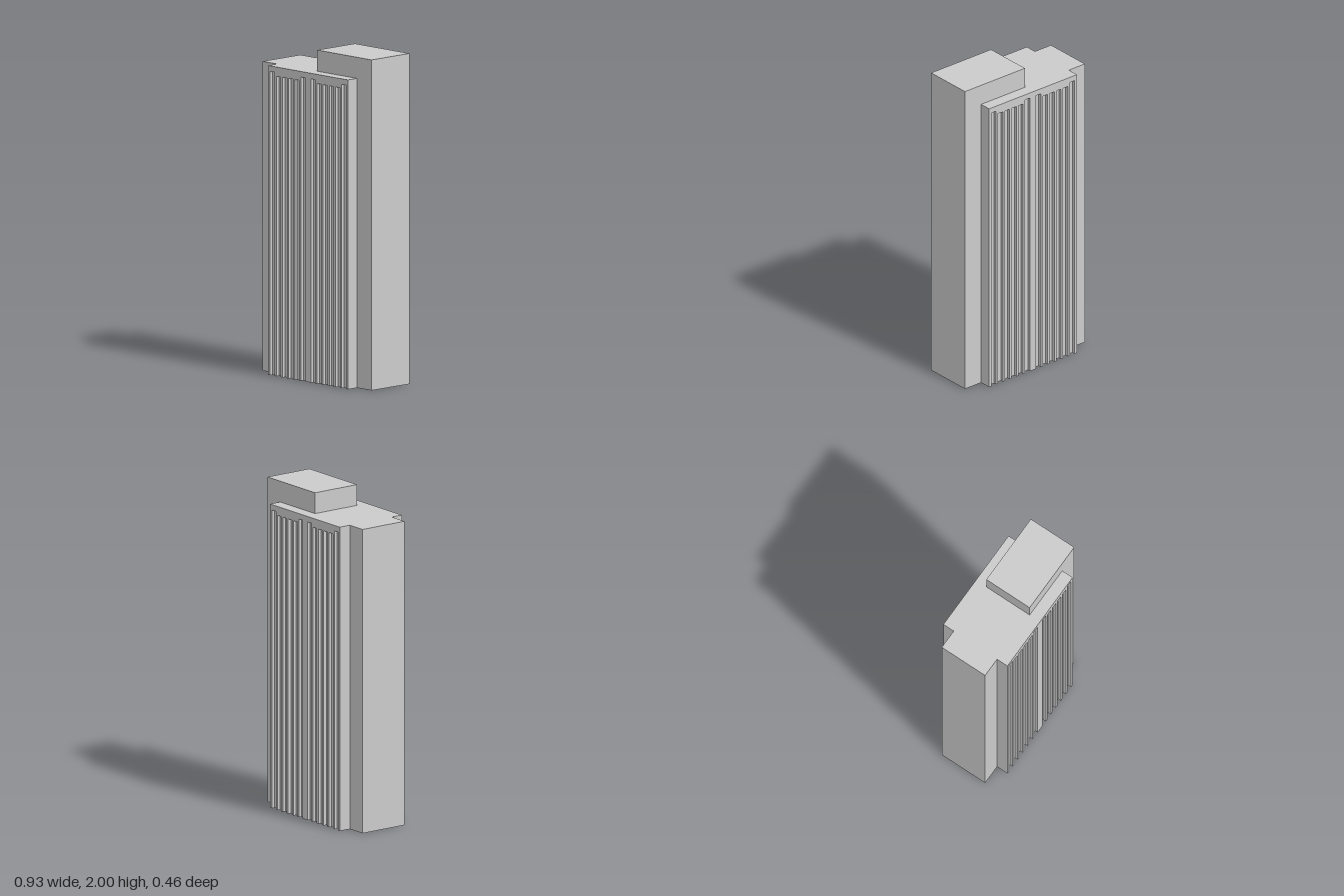
import * as THREE from 'three';

const W = 0.466, D = 0.157;         // half width / half depth of the main slab
const PW = 0.341, PD = 0.232;       // half width / front of the fluted bays
const ROOF = 1.872, TOP = 2;
const SLOT = 0.037, PITCH = 0.0525, RECESS = 0.02;

// Mesh made of flat quads, corners counter-clockwise from outside
function quadMesh(name, quads) {
  const pos = [];
  for (const [a, b, c, d] of quads) pos.push(...a, ...b, ...c, ...a, ...c, ...d);
  const geo = new THREE.BufferGeometry();
  geo.setAttribute('position', new THREE.Float32BufferAttribute(pos, 3));
  geo.computeVertexNormals();
  const mesh = new THREE.Mesh(geo, new THREE.MeshStandardMaterial({
    color: 0xcccccc, flatShading: true, side: THREE.DoubleSide,
  }));
  mesh.name = name;
  return mesh;
}

// Upright quad between two plan points; faces to the right of the direction of travel
// (left to right along +x faces +z)
const wall = (x0, z0, x1, z1, y0, y1) =>
  [[x0, y0, z0], [x1, y0, z1], [x1, y1, z1], [x0, y1, z0]];

// Level quad facing up
const deck = (x0, x1, z0, z1, y) =>
  [[x0, y, z1], [x1, y, z1], [x1, y, z0], [x0, y, z0]];

// Projecting bay with vertical slots that run down to the ground
function flutedBay(name) {
  const quads = [
    wall(-PW, D, -PW, PD, 0, ROOF),
    wall(PW, PD, PW, D, 0, ROOF),
    deck(-PW, PW, D, PD, ROOF),
  ];
  const slots = [];
  for (let i = 0; i < 6; i++) {
    const h = i === 0 || i === 5 ? 1.838 : 1.816;   // outer slots of each group are taller
    const x = 0.0425 + i * PITCH;
    slots.push([x, h], [-x, h]);
  }
  slots.sort((a, b) => a[0] - b[0]);

  let edge = -PW;
  const back = PD - RECESS;
  for (const [x, h] of slots) {
    const l = x - SLOT / 2, r = x + SLOT / 2;
    quads.push(
      wall(edge, PD, l, PD, 0, ROOF),     // pier
      wall(l, PD, r, PD, h, ROOF),        // face above the slot
      wall(l, PD, l, back, 0, h),         // slot sides and back
      wall(l, back, r, back, 0, h),
      wall(r, back, r, PD, 0, h),
      [[l, h, back], [r, h, back], [r, h, PD], [l, h, PD]],   // slot head
    );
    edge = r;
  }
  quads.push(wall(edge, PD, PW, PD, 0, ROOF));
  return quadMesh(name, quads);
}

export function createModel() {
  const group = new THREE.Group();

  // Slab ends, open at the bottom; the +x end rises into the roof block
  group.add(quadMesh('slabWalls', [
    wall(-W, -D, -W, D, 0, ROOF),
    wall(-W, D, -PW, D, 0, ROOF),
    wall(-PW, -D, -W, -D, 0, ROOF),
    wall(PW, D, W, D, 0, TOP),
    wall(W, D, W, -D, 0, TOP),
    wall(W, -D, PW, -D, 0, TOP),
  ]));

  group.add(quadMesh('roof', [deck(-W, 0, -D, D, ROOF)]));

  // Raised block over the +x half
  group.add(quadMesh('roofBlock', [
    wall(0, -D, 0, D, ROOF, TOP),
    wall(0, D, PW, D, ROOF, TOP),
    wall(PW, -D, 0, -D, ROOF, TOP),
    deck(0, W, -D, D, TOP),
  ]));

  // Fluted bays front and back
  const backBay = flutedBay('backBay');
  backBay.rotation.y = Math.PI;
  group.add(flutedBay('frontBay'), backBay);

  return group;
}
